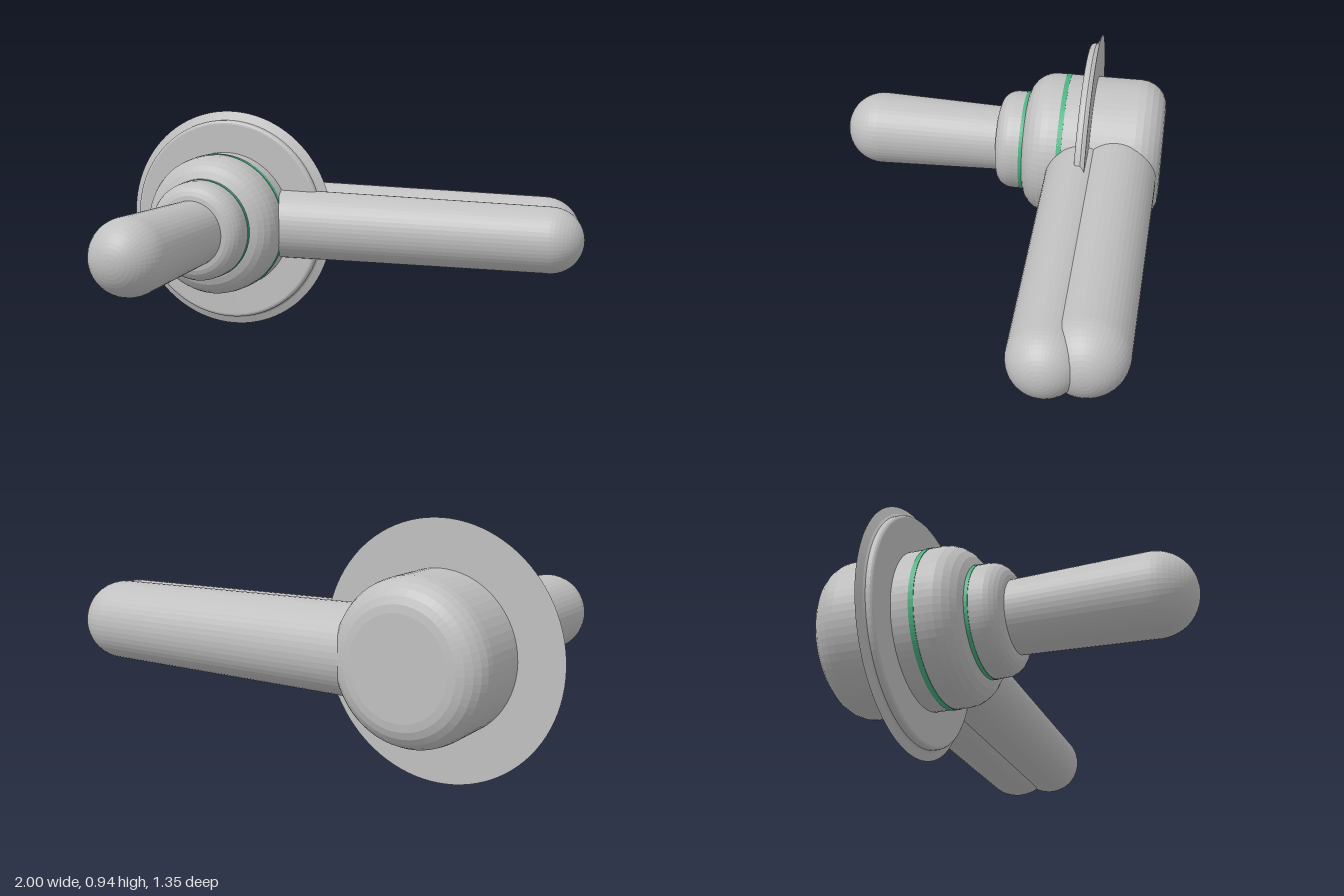
import * as THREE from 'three';

const CX = -0.53, CY = 0.478;

// Points of a quarter-round corner, from angle a0 to a1 about (r, h)
function arc(r, h, radius, a0, a1, n) {
  return Array.from({ length: n + 1 }, (_, i) => {
    const a = a0 + (a1 - a0) * i / n;
    return [Math.max(0, r + radius * Math.cos(a)), h + radius * Math.sin(a)];
  });
}

// Faceted solid of revolution; profile is [radius, height] from bottom to top
function turned(name, profile, material, segments = 64) {
  const pts = profile.map(([r, h]) => new THREE.Vector2(r, h));
  const geo = new THREE.LatheGeometry(pts, segments).toNonIndexed();
  geo.computeVertexNormals();
  const mesh = new THREE.Mesh(geo, material);
  mesh.name = name;
  return mesh;
}

// Tapered rod with a hemispherical tip
function rod(name, r0, r1, start, tip, material) {
  return turned(name, [[0, start], [r0, start], ...arc(0, tip - r1, r1, 0, Math.PI / 2, 12)], material, 48);
}

export function createModel() {
  const grey = new THREE.MeshStandardMaterial({ color: 0xc0c0c0 });
  grey.name = 'light grey';
  const green = new THREE.MeshStandardMaterial({ color: 0x4cb382 });
  green.name = 'green';
  const group = new THREE.Group();
  group.name = 'threeArmHub';
  const H = Math.PI / 2;

  // Parts turned about the front-to-back axis
  const axial = new THREE.Group();
  axial.name = 'hub';
  axial.position.set(CX, CY, 0);
  axial.rotation.x = H;
  axial.add(
    turned('body', [[0, -0.675], ...arc(0.185, -0.565, 0.11, -H, 0, 6),
      ...arc(0.185, -0.213, 0.11, 0, H, 6), [0, -0.103]], grey),
    turned('collar', [[0, -0.16], [0.207, -0.16], ...arc(0.137, -0.055, 0.07, 0, H, 6), [0, 0.015]], grey),
    turned('flange', [[0, -0.385], [0.468, -0.385], [0.438, -0.371], [0.431, -0.365],
      ...arc(0.416, -0.355, 0.015, 0, H, 4), [0, -0.34]], grey, 96),
    rod('frontHandle', 0.134, 0.152, -0.05, 0.675, grey),
  );

  // Thin green rings around the body and collar
  for (const [name, radius, z, width] of [
    ['bodyStripe', 0.297, -0.264, 0.02], ['collarStripe', 0.209, -0.099, 0.015],
  ]) {
    const inner = radius - 0.008, a = z - width / 2, b = z + width / 2;
    axial.add(turned(name, [[inner, a], [radius, a], [radius, b], [inner, b]], green));
  }
  group.add(axial);

  // Two side arms reaching to +x
  for (const [name, r0, r1, tip, z] of [
    ['rearArm', 0.167, 0.152, 0.962, -0.495], ['frontArm', 0.147, 0.133, 0.998, -0.36],
  ]) {
    const arm = rod(name, r0, r1, -0.36, tip, grey);
    arm.rotation.z = -H;
    arm.position.set(0, CY, z);
    group.add(arm);
  }
  return group;
}
